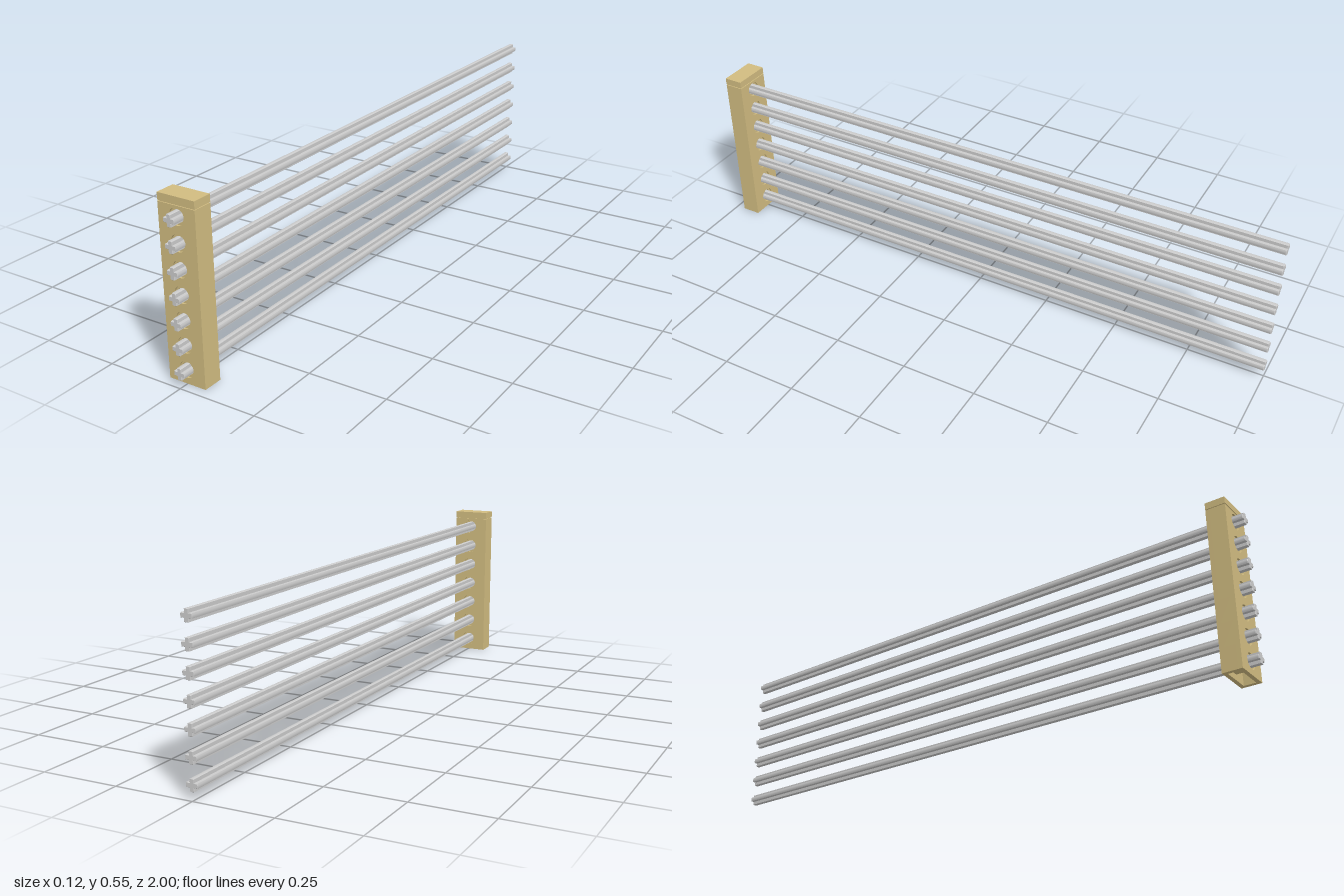
import * as THREE from 'three';
import { toCreasedNormals } from 'three/addons/utils/BufferGeometryUtils.js';

const UNIT = 1 / 320; // dimensions below are in small units, 640 to the longest side
const BRICKS = 7, BRICK_H = 24, W = 40, D = 20, HOLE_Y = 14, BRICK_Z = 300;

const tan = new THREE.MeshStandardMaterial({ color: 0xd0bb80 });
const grey = new THREE.MeshStandardMaterial({ color: 0xcccccc });

function rect(w, h, y0 = -h / 2, PathType = THREE.Shape) {
  return new PathType([[-w / 2, y0], [w / 2, y0], [w / 2, y0 + h], [-w / 2, y0 + h]]
    .map(([x, y]) => new THREE.Vector2(x, y)));
}

function disc(r, y = 0, PathType = THREE.Shape) {
  const p = new PathType();
  p.absarc(0, y, r, 0, Math.PI * 2, false);
  return p;
}

function extrude(shape, depth, hole, extra = {}) {
  if (hole) shape.holes.push(hole);
  const g = new THREE.ExtrudeGeometry(shape, { depth, bevelEnabled: false, curveSegments: 24, ...extra });
  return toCreasedNormals(g, 0.6);
}

// Extrusion standing upright, rising from y
const upright = (shape, height, hole, y) =>
  extrude(shape, height, hole).rotateX(-Math.PI / 2).translate(0, y, 0);

function add(parent, name, geometry, material, x = 0, y = 0, z = 0) {
  const m = new THREE.Mesh(geometry, material);
  m.name = name;
  m.position.set(x, y, z);
  parent.add(m);
  return m;
}

// Hollow brick with a recessed round hole through front and back
function makeBrick() {
  const brick = new THREE.Group();
  const outer = extrude(rect(W, BRICK_H, 0), 2, disc(8, HOLE_Y, THREE.Path));
  const inner = extrude(rect(W, BRICK_H, 0), 2, disc(6, HOLE_Y, THREE.Path));
  add(brick, 'frontFace', outer, tan, 0, 0, 8);
  add(brick, 'frontWall', inner, tan, 0, 0, 6);
  add(brick, 'backFace', outer, tan, 0, 0, -10);
  add(brick, 'backWall', inner, tan, 0, 0, -8);
  add(brick, 'holeTube', extrude(disc(8, HOLE_Y), 12, disc(6, HOLE_Y, THREE.Path)), tan, 0, 0, -6);
  add(brick, 'topPlate', new THREE.BoxGeometry(32, 4, 12), tan, 0, 22, 0);
  const stud = upright(disc(6), 4, disc(4, 0, THREE.Path), BRICK_H);
  for (const s of [-1, 1]) {
    add(brick, 'sideWall', new THREE.BoxGeometry(4, BRICK_H, 12), tan, s * 18, 12, 0);
    add(brick, 'stud', stud, tan, s * 10, 0, 0);
  }
  return brick;
}

// Flat cap with a narrower lip below, hollow underneath
function makeCap() {
  const cap = new THREE.Group();
  const cavity = () => rect(32, 12, -6, THREE.Path);
  add(cap, 'capLip', upright(rect(W - 2, D - 2), 1, cavity(), 0), tan);
  add(cap, 'capRim', upright(rect(W, D), 3, cavity(), 1), tan);
  add(cap, 'capTop', new THREE.BoxGeometry(W, 4, D), tan, 0, 6, 0);
  return cap;
}

// Cross-section rod: four arms with rounded tips
function rodGeometry() {
  const r = 6, h = 2.25, a = Math.asin(h / r), pts = [];
  for (let k = 0; k < 4; k++) {
    const t = k * Math.PI / 2;
    for (let i = -2; i <= 2; i++) {
      const q = t + a * i / 2;
      pts.push(new THREE.Vector2(r * Math.cos(q), r * Math.sin(q)));
    }
    const c = t + Math.PI / 4, d = h * Math.SQRT2;
    pts.push(new THREE.Vector2(d * Math.cos(c), d * Math.sin(c)));
  }
  return extrude(new THREE.Shape(pts), 639, null, {
    bevelEnabled: true, bevelThickness: 0.5, bevelSize: 0.4, bevelOffset: -0.4, bevelSegments: 1,
  }).translate(0, 0, -319.5);
}

export function createModel() {
  const model = new THREE.Group();
  model.name = 'rodRack';
  const body = new THREE.Group();
  body.name = 'rackBody';
  body.scale.setScalar(UNIT);
  model.add(body);

  // Column of bricks, each carrying one long rod
  const brick = makeBrick(), rod = rodGeometry();
  for (let i = 0; i < BRICKS; i++) {
    const b = brick.clone();
    b.name = 'brick';
    b.position.set(0, i * BRICK_H, BRICK_Z);
    body.add(b);
    add(body, 'rod', rod, grey, 0, i * BRICK_H + HOLE_Y, 0);
  }

  const cap = makeCap();
  cap.name = 'cap';
  cap.position.set(0, BRICKS * BRICK_H, BRICK_Z);
  body.add(cap);
  return model;
}
